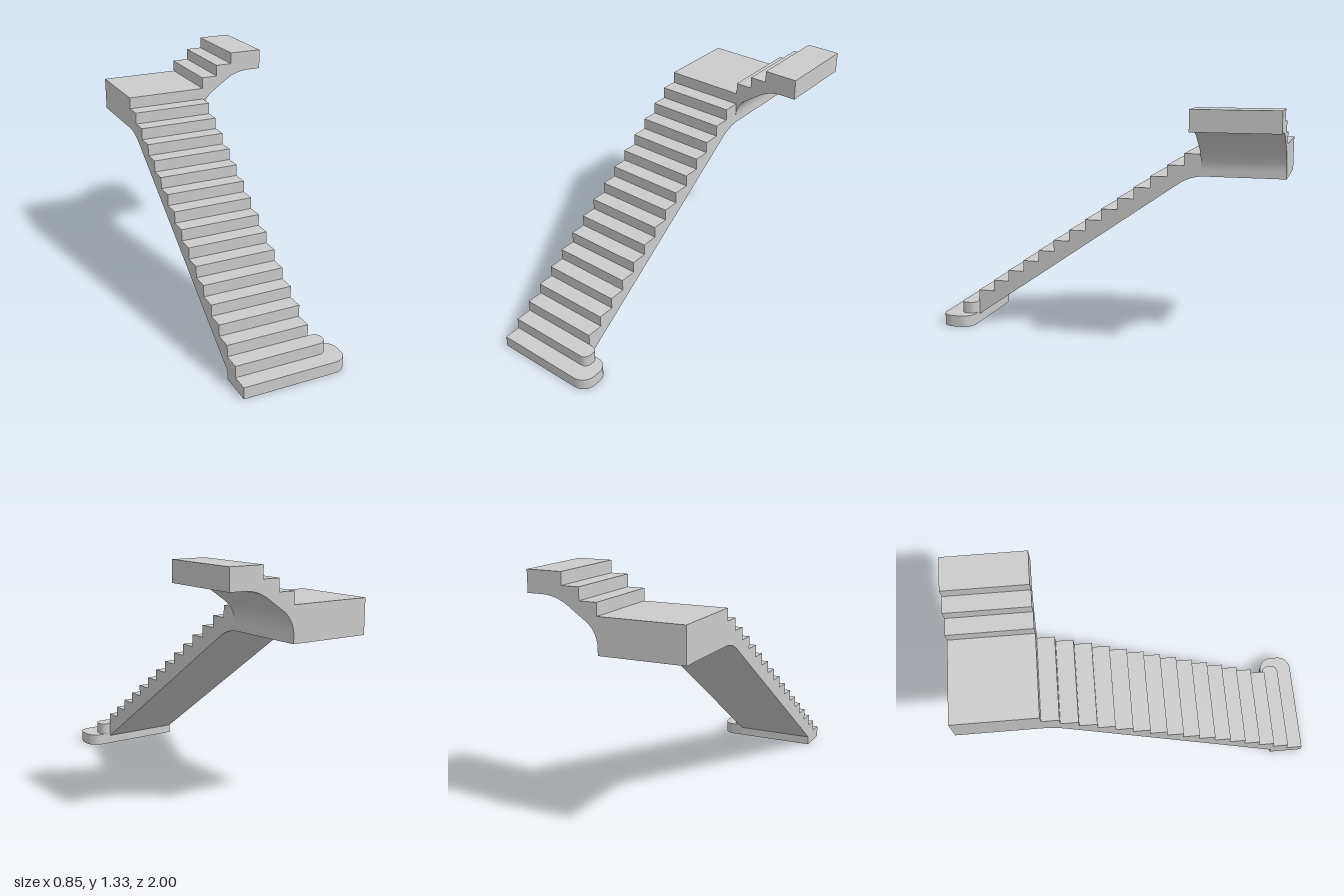
import * as THREE from 'three';
import { toCreasedNormals } from 'three/addons/utils/BufferGeometryUtils.js';

const RISE = 0.0665, GOING = 0.0959;
const LEFT = 0.427, EDGE = 0.04;           // outer side and inner side of the main flight
const SLOPE = RISE / GOING;
const LANDING_Z = 1 - 16 * GOING;          // front edge of the landing
const V = (x, y) => new THREE.Vector2(x, y);

// Points of a circular fillet at corner c, between neighbours a and b, with tangent length t
function fillet(a, c, b, t, n = 12) {
  const da = a.clone().sub(c).normalize(), db = b.clone().sub(c).normalize();
  const half = Math.acos(da.dot(db)) / 2;
  const r = t * Math.tan(half);
  const centre = c.clone().add(da.clone().add(db).normalize().multiplyScalar(t / Math.cos(half)));
  const p = c.clone().addScaledVector(da, t).sub(centre);
  const q = c.clone().addScaledVector(db, t).sub(centre);
  const start = p.angle();
  const sweep = Math.atan2(p.cross(q), p.dot(q));
  return Array.from({ length: n + 1 }, (_, i) => {
    const k = start + sweep * i / n;
    return V(centre.x + r * Math.cos(k), centre.y + r * Math.sin(k));
  });
}

function extrude(points, depth) {
  return new THREE.ExtrudeGeometry(new THREE.Shape(points), { depth, bevelEnabled: false });
}

export function createModel() {
  const group = new THREE.Group();
  const material = new THREE.MeshStandardMaterial({ color: 0xcccccc });
  const add = (name, geometry) => {
    const mesh = new THREE.Mesh(toCreasedNormals(geometry, 0.4), material);
    mesh.name = name;
    group.add(mesh);
  };

  // Main flight and landing: side profile with u = -z, extruded across the width
  const u0 = -1 + 2 * GOING;
  const main = [V(u0, 0)];
  for (let i = 2; i < 17; i++) {
    const u = -1 + i * GOING;
    main.push(V(u, (i + 1) * RISE));
    if (i < 16) main.push(V(u + GOING, (i + 1) * RISE));
  }
  const soffit = 0.94, toe = V(u0, 0.05);
  const bend = V(u0 + (soffit - toe.y) / SLOPE, soffit);
  main.push(V(1, 17 * RISE), V(1, soffit), ...fillet(V(1, soffit), bend, toe, 0.08), toe);
  add('mainFlightAndLanding', extrude(main, LEFT + EDGE).rotateY(Math.PI / 2).translate(-LEFT, 0, 0));

  // Upper flight: front profile, turning off the landing towards +x
  const low = V(EDGE, 1.058), under = 1.214;
  const high = V(EDGE + (under - low.y) / SLOPE, under);
  const upper = [V(EDGE, 0.96)];
  for (let i = 0; i < 3; i++) {
    const x = EDGE + i * GOING, y = (18 + i) * RISE;
    upper.push(V(x, y), V(i < 2 ? x + GOING : LEFT, y));
  }
  upper.push(V(LEFT, under), ...fillet(V(LEFT, under), high, low, 0.08),
    ...fillet(high, low, V(EDGE, 0.9), 0.078));
  add('upperFlight', extrude(upper, LANDING_Z + 1).translate(0, 0, -1));

  // Two wide starting steps with rounded inner ends: plan with v = -z
  const startStep = (name, front, right, radius, y) => {
    const a = V(-LEFT, -front), b = V(right, -front), c = V(right, u0), d = V(-LEFT, u0);
    const plan = [a, ...fillet(a, b, c, radius), ...fillet(b, c, d, radius), d];
    add(name, extrude(plan, RISE).rotateX(-Math.PI / 2).translate(0, y, 0));
  };
  startStep('firstStep', 1, 0.175, 0.075, 0);
  startStep('secondStep', 1 - GOING, 0.099, 0.04, RISE);

  return group;
}
